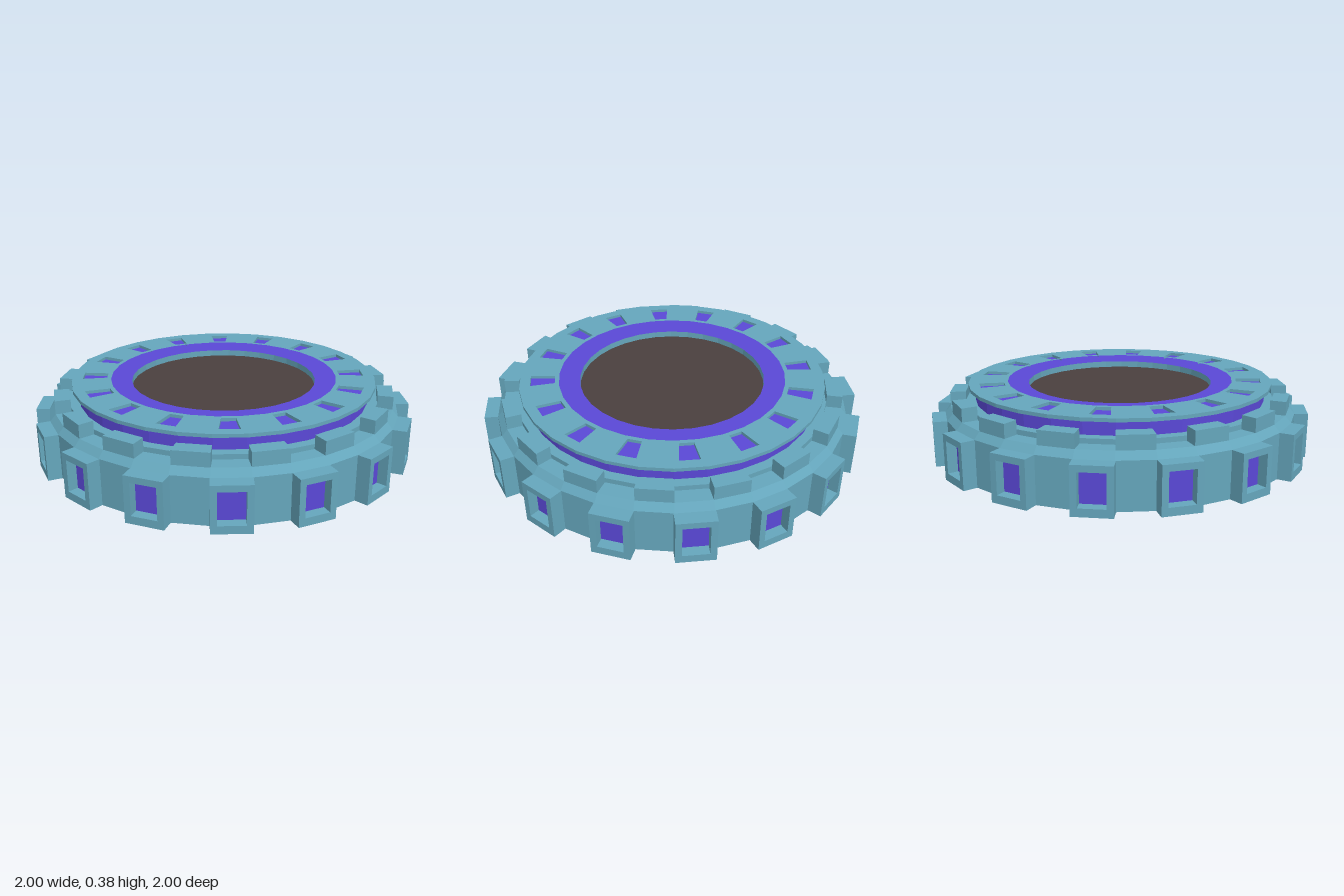
import * as THREE from 'three';

const SIDES = 32;
const COUNT = 16;
const STEP = (Math.PI * 2) / COUNT;
const HALF = STEP / 4; // half of one side of the 32-sided body

const paint = (color) => new THREE.MeshStandardMaterial({ color, flatShading: true });
const v2 = (x, y) => new THREE.Vector2(x, y);
// point at a radius and angle, measured from the front (+z) towards +x
const polar = (r, t) => v2(r * Math.sin(t), r * Math.cos(t));

export function createModel() {
  const model = new THREE.Group();
  const teal = paint(0x65a6bc);
  const violet = paint(0x5a48d6);
  const dark = paint(0x4a403f);

  const add = (name, geometry, material, parent = model) => {
    const mesh = new THREE.Mesh(geometry, material);
    mesh.name = name;
    parent.add(mesh);
    return mesh;
  };
  const lathe = (points) => new THREE.LatheGeometry(points.map((p) => v2(...p)), SIDES);
  // horizontal slab whose outline is given in x and z
  const slab = (shape, top, height) =>
    new THREE.ExtrudeGeometry(shape, { depth: height, bevelEnabled: false })
      .rotateX(Math.PI / 2).translate(0, top, 0);
  const rect = (x, y0, y1) => [v2(-x, y0), v2(x, y0), v2(x, y1), v2(-x, y1)];

  // Base with chamfered shoulder and a low inner step
  add('base', lathe([[0, 0], [0.93, 0], [0.93, 0.235], [0.9, 0.27],
    [0.82, 0.27], [0.82, 0.295], [0.7, 0.295]]), teal);

  // Drum under the top plate, also the floor of its slots
  add('drum', lathe([[0.77, 0.29], [0.77, 0.369], [0.49, 0.369]]), violet);

  // Shallow central well
  add('wellWall', lathe([[0.49, 0.369], [0.49, 0.336]]), teal);
  add('wellFloor', new THREE.CircleGeometry(0.49, SIDES)
    .rotateX(-Math.PI / 2).translate(0, 0.336, 0), dark);

  // Top plate ring with tapered slots
  const circle = (r) => Array.from({ length: SIDES }, (_, i) => polar(r, i * STEP / 2));
  const plate = new THREE.Shape(circle(0.805));
  plate.holes.push(new THREE.Path(circle(0.6)));
  for (let i = 0; i < COUNT; i++) {
    const t = HALF + i * STEP;
    const corners = [v2(-0.035, 0.62), v2(0.035, 0.62), v2(0.05, 0.747), v2(-0.05, 0.747)];
    plate.holes.push(new THREE.Path(corners.map((c) => c.rotateAround(v2(0, 0), -t))));
  }
  add('topPlate', slab(plate, 0.385, 0.018), teal);

  // Window frames around the rim, alternating with raised shoulder blocks
  const frame = new THREE.Shape(rect(0.095, 0, 0.235));
  frame.holes.push(new THREE.Path(rect(0.064, 0.04, 0.203)));
  const frameGeometry = new THREE.ExtrudeGeometry(frame, { depth: 0.0705, bevelEnabled: false })
    .translate(0, 0, 0.925);
  const paneGeometry = new THREE.PlaneGeometry(0.128, 0.163).translate(0, 0.1215, 0.943);
  const blockGeometry = slab(new THREE.Shape([
    polar(0.82, -HALF), polar(0.82, HALF), polar(0.9, HALF), polar(0.9, -HALF),
  ]), 0.34, 0.07);

  for (let i = 0; i < COUNT; i++) {
    const rimWindow = new THREE.Group();
    rimWindow.name = 'rimWindow';
    rimWindow.rotation.y = HALF + i * STEP;
    add('windowFrame', frameGeometry, teal, rimWindow);
    add('windowPane', paneGeometry, violet, rimWindow);
    model.add(rimWindow);

    add('shoulderBlock', blockGeometry, teal).rotation.y = HALF + (i + 0.5) * STEP;
  }
  return model;
}
